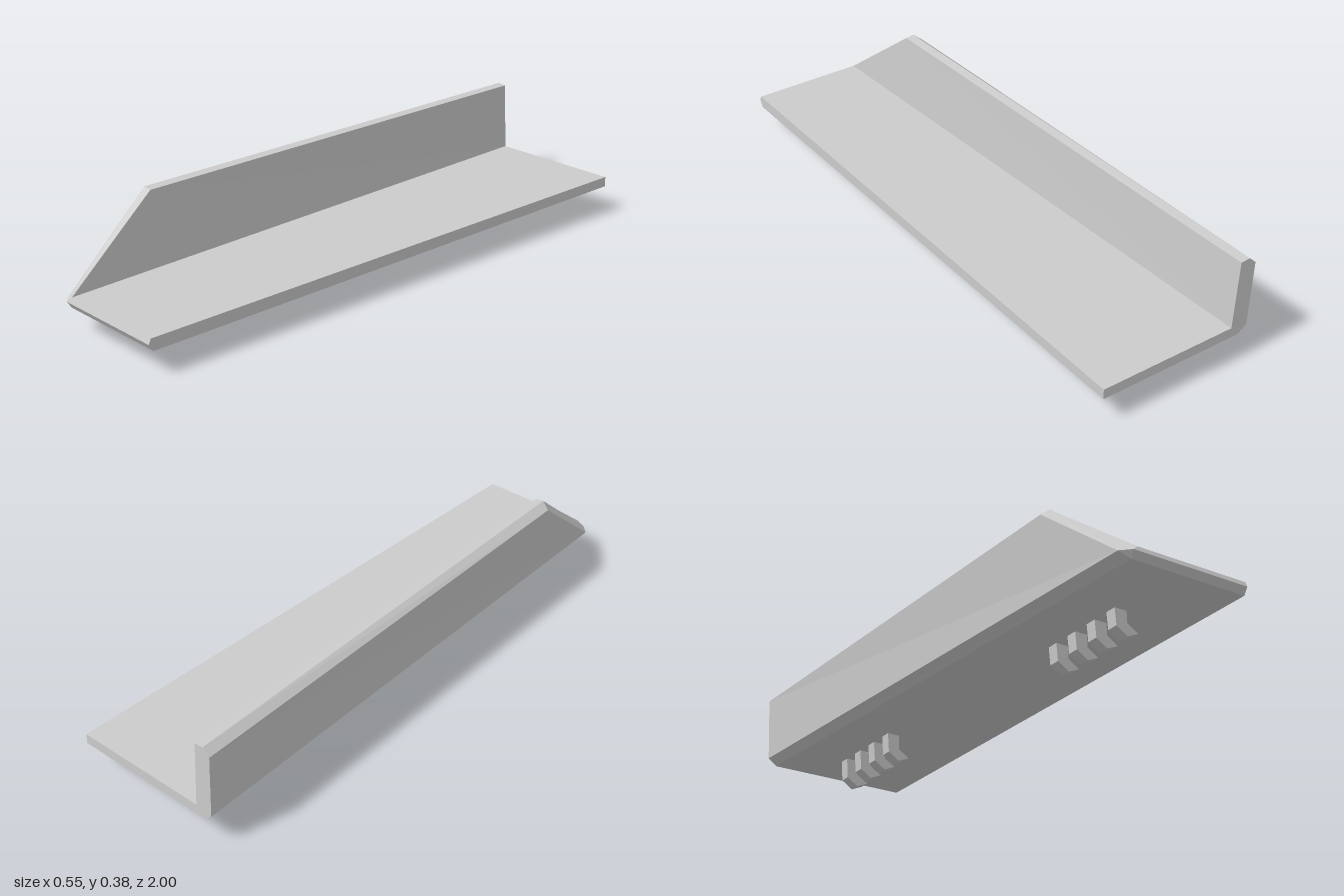
import * as THREE from 'three';

const material = new THREE.MeshStandardMaterial({ color: 0xcccccc, flatShading: true });

// Flat-shaded geometry from polygon corner lists, fanned into triangles
function facets(polygons) {
  const positions = [];
  for (const p of polygons) {
    for (let i = 1; i < p.length - 1; i++) positions.push(...p[0], ...p[i], ...p[i + 1]);
  }
  const geometry = new THREE.BufferGeometry();
  geometry.setAttribute('position', new THREE.Float32BufferAttribute(positions, 3));
  geometry.computeVertexNormals();
  return geometry;
}

// Tapered L-shaped tray: floor plus one leaning side wall with a raked front
function tray() {
  // Order: floor bottom edge, bottom corner, outer low, outer high, ridge, inner high, inner corner, floor top edge
  const rear = [
    [0.275, 0.1], [-0.232, 0.1], [-0.265, 0.124], [-0.275, 0.348],
    [-0.25, 0.372], [-0.218, 0.369], [-0.205, 0.135], [0.275, 0.135],
  ].map(([x, y]) => [x, y, -1]);
  const front = [
    [0.275, 0.083, 0.985], [-0.135, 0.083, 0.985], [-0.17, 0.106, 0.97], [-0.21, 0.358, 0.66],
    [-0.182, 0.38, 0.67], [-0.152, 0.376, 0.67], [-0.118, 0.124, 0.993], [0.275, 0.124, 0.993],
  ];
  // Leading edge of the bevelled nose
  const noseL = [0.275, 0.106, 1];
  const noseR = [-0.138, 0.106, 1];

  const sides = front.map((a, i) => {
    const j = (i + 1) % front.length;
    return [a, front[j], rear[j], rear[i]];
  });
  const [b0, b1, o0, o1, ridge, in1, in0, f0] = front;
  const nose = [
    [b0, noseL, noseR, b1], [noseL, f0, in0, noseR], [b1, noseR, o0],
    [o0, noseR, ridge, o1], [noseR, in0, in1, ridge], [b0, f0, noseL],
  ];
  const back = [[0, 1, 6, 7], [1, 2, 6], [2, 3, 5, 6], [3, 4, 5]].map((f) => f.map((i) => rear[i]));
  return facets([...sides, ...nose, ...back]);
}

// Bent clip profile, extruded along z
function clipGeometry(width) {
  const shape = new THREE.Shape([
    [0.006, 0.105], [0.012, 0.028], [0.052, 0.002], [0.092, 0.02], [0.052, 0.045], [0.052, 0.105],
  ].map(([x, y]) => new THREE.Vector2(x, y)));
  return new THREE.ExtrudeGeometry(shape, { depth: width, bevelEnabled: false }).translate(0, 0, -width / 2);
}

export function createModel() {
  const model = new THREE.Group();
  model.name = 'sidePanel';

  const body = new THREE.Mesh(tray(), material);
  body.name = 'floorAndWall';
  model.add(body);

  // Two rows of four mounting clips under the floor
  const clip = clipGeometry(0.04);
  for (const [name, x, z] of [['frontClips', 0, 0.7], ['rearClips', -0.061, -0.515]]) {
    const row = new THREE.Group();
    row.name = name;
    for (let i = 0; i < 4; i++) {
      const mesh = new THREE.Mesh(clip, material);
      mesh.name = 'clip';
      mesh.position.set(x, 0, z - i * 0.098);
      row.add(mesh);
    }
    model.add(row);
  }
  return model;
}
